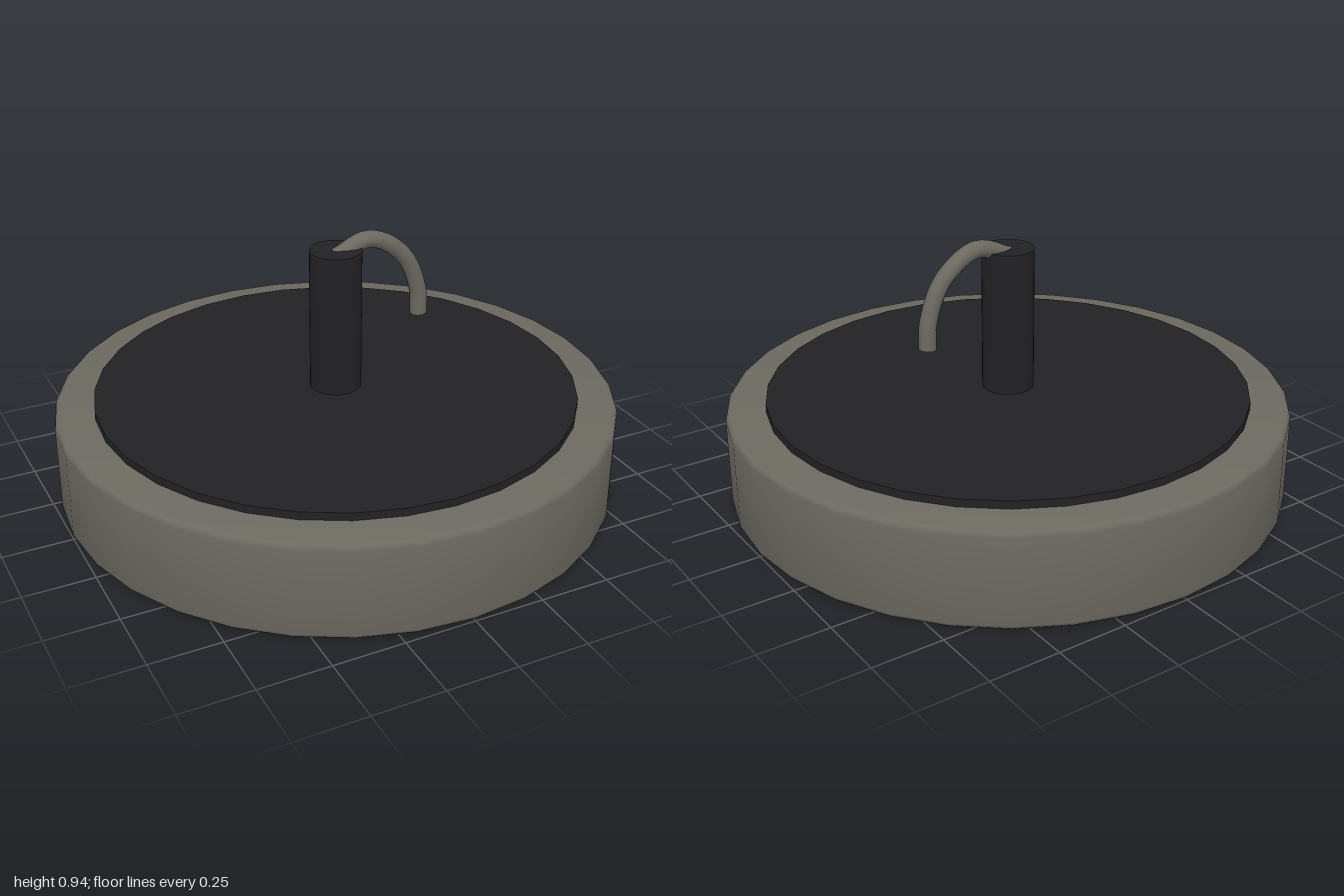
import * as THREE from 'three';
import { toCreasedNormals } from 'three/addons/utils/BufferGeometryUtils.js';

const SIDES = 32;

export function createModel() {
  const model = new THREE.Group();
  const metal = new THREE.MeshStandardMaterial({ color: 0x6b6960 });
  const dark = new THREE.MeshStandardMaterial({ color: 0x222225 });

  const add = (name, geometry, material, y = 0) => {
    const mesh = new THREE.Mesh(geometry, material);
    mesh.name = name;
    mesh.position.y = y;
    model.add(mesh);
    return mesh;
  };

  // Heavy round base with narrow rounded rims
  const height = 0.347, bevel = 0.02;
  const profile = [new THREE.Vector2(0, 0)];
  for (const [cy, start] of [[bevel, -Math.PI / 2], [height - bevel, 0]]) {
    for (let i = 0; i <= 3; i++) {
      const a = start + (i / 3) * Math.PI / 2;
      profile.push(new THREE.Vector2(1 - bevel + bevel * Math.cos(a), cy + bevel * Math.sin(a)));
    }
  }
  profile.push(new THREE.Vector2(0, height));
  add('base', toCreasedNormals(new THREE.LatheGeometry(profile, SIDES), 0.6), metal);

  // Thin cover plate, partly sunk into the base
  add('coverPlate', new THREE.CylinderGeometry(0.86, 0.86, 0.06, SIDES), dark, 0.345);

  // Central post
  add('post', new THREE.CylinderGeometry(0.092, 0.092, 0.53, SIDES), dark, 0.625);

  // Curved hook rising out of the post and bending down on its left
  const path = new THREE.CatmullRomCurve3([
    [0, 0.862], [0.13, 0.908], [0.265, 0.825], [0.325, 0.69], [0.332, 0.59],
  ].map(([x, y]) => new THREE.Vector3(x, y, 0)));
  const radius = 0.031;
  add('hook', new THREE.TubeGeometry(path, 32, radius, 12), metal);

  // Flat caps closing both hook ends
  for (const [name, t, sign] of [['hookRoot', 0, -1], ['hookTip', 1, 1]]) {
    const cap = add(name, new THREE.CircleGeometry(radius, 12), metal);
    const outward = path.getTangentAt(t).multiplyScalar(sign);
    cap.position.copy(path.getPointAt(t));
    cap.quaternion.setFromUnitVectors(new THREE.Vector3(0, 0, 1), outward);
  }

  return model;
}
